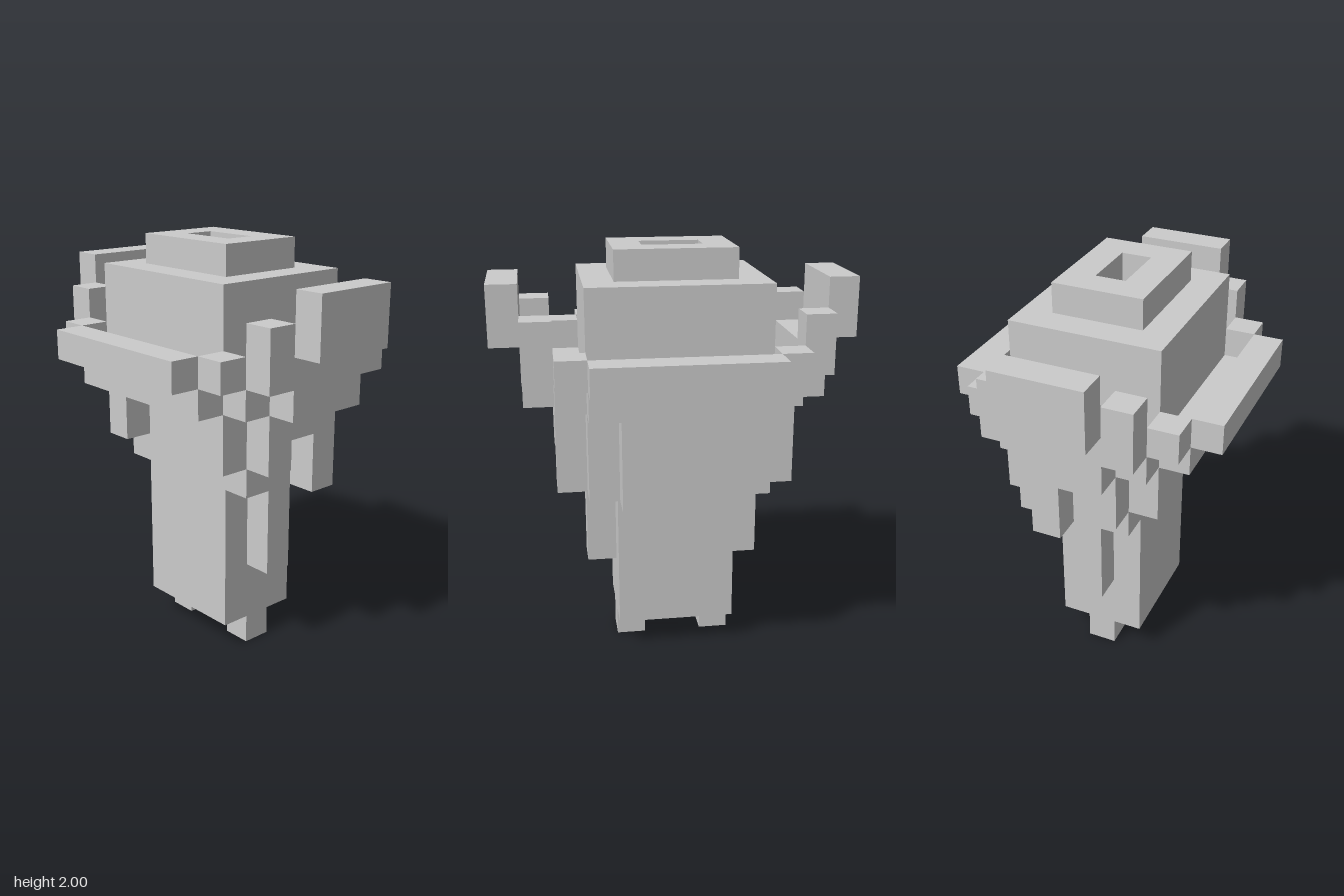
import * as THREE from 'three';

const U = 1 / 7; // one block
const material = new THREE.MeshStandardMaterial({ color: 0xcccccc, flatShading: true });

export function createModel() {
  const model = new THREE.Group();
  model.name = 'blockFigureWithHat';

  // Box spanning the given block coordinates
  function block(parent, name, [x0, x1], [y0, y1], [z0, z1]) {
    const geometry = new THREE.BoxGeometry((x1 - x0) * U, (y1 - y0) * U, (z1 - z0) * U);
    const mesh = new THREE.Mesh(geometry, material);
    mesh.name = name;
    mesh.position.set((x0 + x1) * U / 2, (y0 + y1) * U / 2, (z0 + z1) * U / 2);
    parent.add(mesh);
  }
  // The same box on the left (+x) and the right (-x)
  function pair(parent, name, [x0, x1], y, z) {
    block(parent, name + 'Left', [x0, x1], y, z);
    block(parent, name + 'Right', [-x1, -x0], y, z);
  }
  function part(name) {
    const group = new THREE.Group();
    group.name = name;
    model.add(group);
    return group;
  }

  // Body, feet, arms and head
  const body = part('body');
  pair(body, 'foot', [1, 2], [0, 1], [-0.5, 0.5]);
  block(body, 'torso', [-2, 2], [1, 6], [-1.5, 1.5]);
  pair(body, 'arm', [2, 3], [3, 6], [-0.5, 0.5]);
  block(body, 'head', [-3, 3], [6, 9], [-1.5, 1.5]);

  // Hair: stepped around the back, shorter at the front, open over the ears
  const hair = part('hair');
  block(hair, 'hairBack', [-2, 2], [6, 9], [-3.5, -1.5]);
  pair(hair, 'hairBackCorner', [2, 3], [6, 9], [-2.5, -1.5]);
  pair(hair, 'hairBehindEar', [3, 4], [6, 9], [-1.5, -0.5]);
  pair(hair, 'hairOverEar', [3, 4], [8, 9], [-0.5, 0.5]);
  pair(hair, 'sideburn', [3, 4], [7, 9], [0.5, 1.5]);
  pair(hair, 'hairFrontCorner', [2, 3], [7, 9], [1.5, 2.5]);

  // Hat brim: stepped base, raised rim, sides curling up
  const brim = part('hatBrim');
  block(brim, 'brimBase', [-3, 3], [9, 10], [-3.5, 3.5]);
  pair(brim, 'brimBaseSide', [3, 4], [9, 10], [-2.5, 2.5]);
  pair(brim, 'brimSide', [4, 5], [9, 11], [-1.5, 1.5]);
  pair(brim, 'brimWing', [5, 6], [11, 13], [-1.5, 1.5]);
  for (const [end, s] of [['Front', 1], ['Back', -1]]) {
    const z = (a, b) => (s > 0 ? [a, b] : [-b, -a]);
    block(brim, 'rim' + end, [-3, 3], [10, 11], z(3.5, 4.5));
    pair(brim, 'rimCorner' + end, [3, 4], [10, 11], z(2.5, 3.5));
    pair(brim, 'rimPost' + end, [4, 5], [10, 12], z(1.5, 2.5));
  }

  // Hat crown with a dented top
  const crown = part('hatCrown');
  block(crown, 'crown', [-3, 3], [10, 13], [-2.5, 2.5]);
  const outline = new THREE.Shape();
  outline.moveTo(-2 * U, -1.5 * U).lineTo(2 * U, -1.5 * U).lineTo(2 * U, 1.5 * U).lineTo(-2 * U, 1.5 * U);
  const dent = new THREE.Path();
  dent.moveTo(-U, -0.5 * U).lineTo(-U, 0.5 * U).lineTo(U, 0.5 * U).lineTo(U, -0.5 * U);
  outline.holes.push(dent);
  const top = new THREE.Mesh(
    new THREE.ExtrudeGeometry(outline, { depth: U, bevelEnabled: false }), material);
  top.name = 'crownTop';
  top.rotation.x = -Math.PI / 2;
  top.position.y = 13 * U;
  crown.add(top);

  return model;
}
